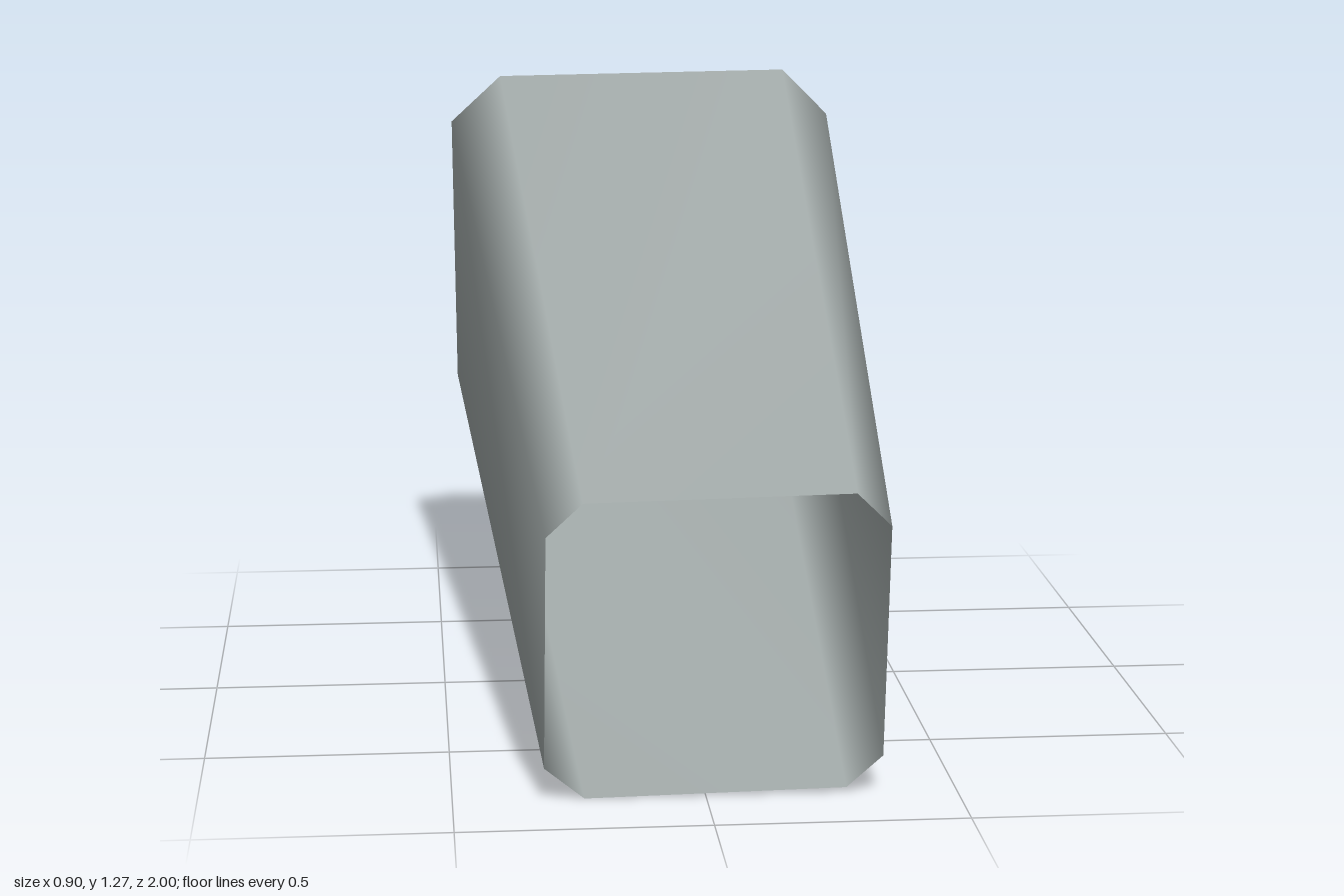
import * as THREE from 'three';

// Octagonal end outlines (x, y), counter-clockwise from the lower left
const frontOutline = [[-0.24, 0], [0.28, 0.01], [0.35, 0.08], [0.34, 0.58], [0.27, 0.65], [-0.25, 0.64], [-0.32, 0.57], [-0.32, 0.07]];
const backOutline = [[-0.34, 0.395], [0.345, 0.405], [0.45, 0.515], [0.44, 1.16], [0.33, 1.27], [-0.34, 1.26], [-0.455, 1.15], [-0.445, 0.5]];

// Place an outline on a sloping end plane
const ring = (outline, zAt) => outline.flatMap(([x, y]) => [x, y, zAt(y)]);

export function createModel() {
  const group = new THREE.Group();
  group.name = 'taperedSleeve';

  const steel = new THREE.MeshStandardMaterial({ color: 0xa0a8a7, side: THREE.DoubleSide });
  steel.name = 'pale steel grey';

  // Both ends are open and lean back as they rise
  const positions = [
    ...ring(frontOutline, (y) => 0.82 + 0.277 * y),
    ...ring(backOutline, (y) => -1 + 0.287 * (y - 0.395)),
  ];

  // Join the two rings with shared corners for smooth bevels
  const n = frontOutline.length;
  const index = [];
  for (let i = 0; i < n; i++) {
    const j = (i + 1) % n;
    index.push(i, n + i, j, j, n + i, n + j);
  }

  const geometry = new THREE.BufferGeometry();
  geometry.setAttribute('position', new THREE.Float32BufferAttribute(positions, 3));
  geometry.setIndex(index);
  geometry.computeVertexNormals();

  const wall = new THREE.Mesh(geometry, steel);
  wall.name = 'sleeveWall';
  group.add(wall);
  return group;
}
